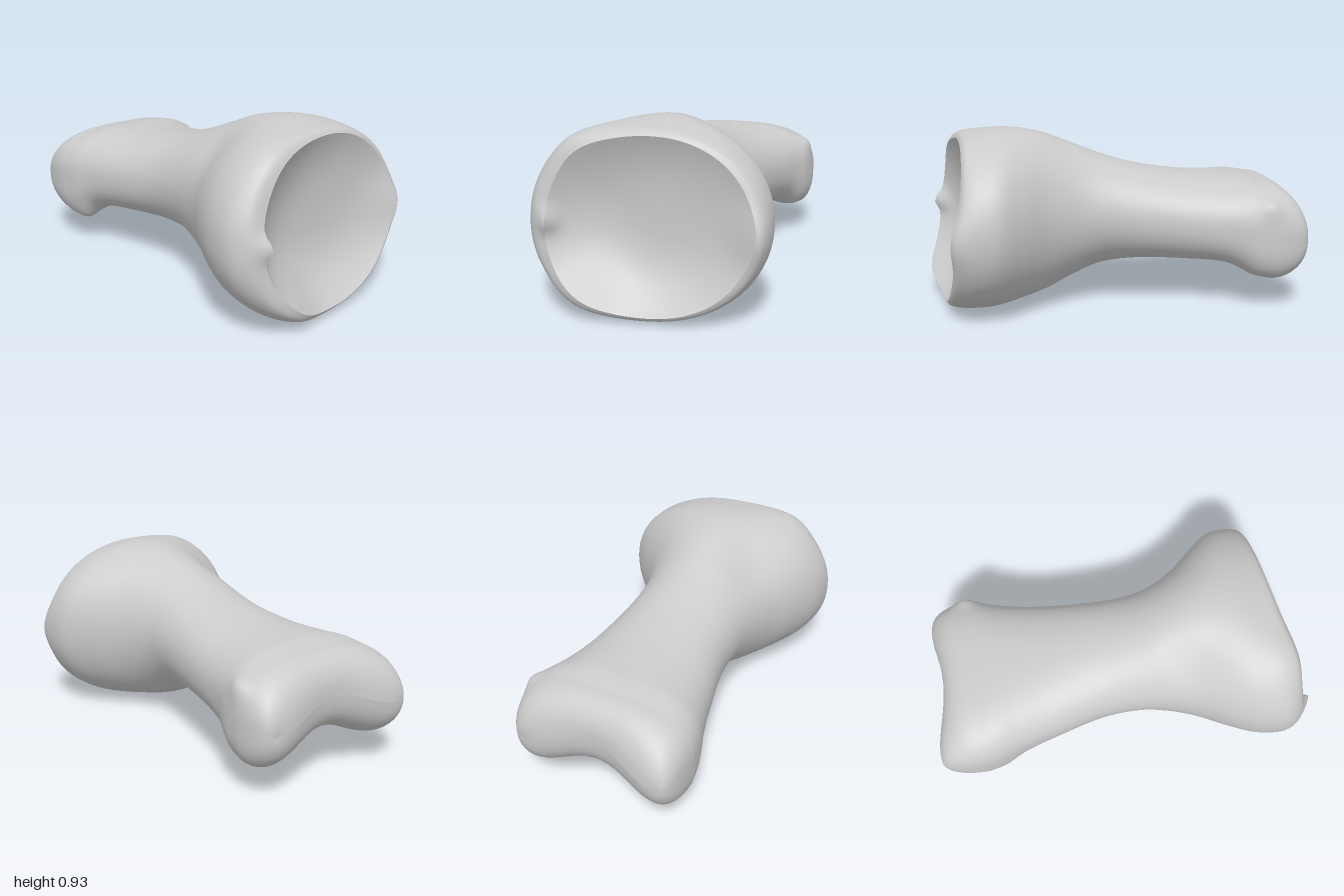
import * as THREE from 'three';

const SIDES = 96;

// Cross-sections along the bone, from the knuckle end to the socket end:
// [position, left edge, right edge, top, bottom, groove under, roundness, rim lean]
const STATIONS = [
  [-0.80, -0.455, 0.465, 0.65, 0.085, 0.18, 0.68, 0],
  [-0.70, -0.44, 0.45, 0.67, 0.10, 0.17, 0.72, 0],
  [-0.58, -0.405, 0.405, 0.675, 0.165, 0.09, 0.82, 0],
  [-0.40, -0.365, 0.36, 0.685, 0.19, 0.04, 0.9, 0],
  [-0.15, -0.32, 0.315, 0.725, 0.205, 0.02, 0.95, 0],
  [0.05, -0.325, 0.295, 0.785, 0.195, 0, 1, 0],
  [0.20, -0.355, 0.31, 0.85, 0.135, 0, 1, 0],
  [0.35, -0.41, 0.38, 0.91, 0.065, 0, 1, 0],
  [0.50, -0.50, 0.495, 0.935, 0.025, 0, 0.98, 0.2],
  [0.62, -0.56, 0.57, 0.935, 0.005, 0, 0.95, 0.5],
  [0.74, -0.575, 0.58, 0.92, 0.005, 0, 0.92, 0.85],
  [0.82, -0.525, 0.56, 0.905, 0.02, 0, 0.93, 1],
  [0.845, -0.45, 0.525, 0.88, 0.045, 0, 0.95, 1],
];

// Small knobs and hollows: [x, y, z, radius, push x, push y, push z]
const KNOBS = [
  [0.45, 0.55, -0.77, 0.06, 0.02, 0.03, 0],
  [-0.36, 0.16, -0.72, 0.08, 0, -0.03, 0.02],
  [-0.45, 0.47, 0.90, 0.05, 0.02, 0, 0.04],
  [0.52, 0.46, 0.82, 0.12, 0.02, 0, 0.03],
  [-0.27, 0.12, 0.90, 0.18, 0, 0, 0.05],
  [-0.30, 0.80, 0.78, 0.16, -0.02, 0.02, 0.02],
  [-0.25, 0.80, 0.35, 0.20, 0.02, -0.04, 0],
];

// Smooth blend between neighbouring cross-sections
function stationAt(t) {
  const last = STATIONS.length - 1;
  const i = Math.min(Math.floor(t), last - 1);
  const f = t - i;
  const [a, b, c, d] = [i - 1, i, i + 1, i + 2].map((k) => STATIONS[THREE.MathUtils.clamp(k, 0, last)]);
  return b.map((_, k) => b[k] + 0.5 * f * (c[k] - a[k]
    + f * (2 * a[k] - 5 * b[k] + 4 * c[k] - d[k] + f * (3 * (b[k] - c[k]) + d[k] - a[k]))));
}

function ring([z, left, right, top, bottom, groove, round, lean]) {
  const points = [];
  for (let i = 0; i < SIDES; i++) {
    const angle = (i / SIDES) * Math.PI * 2;
    const shape = (n) => Math.sign(n) * Math.abs(n) ** round;
    const xn = shape(Math.cos(angle));
    const yn = shape(Math.sin(angle));
    let y = (top + bottom) / 2 + yn * (top - bottom) / 2;
    if (yn < 0) y += groove * Math.cos(xn * Math.PI / 2) ** 2 * Math.min(1, -yn * 1.5);
    points.push(new THREE.Vector3(
      (left + right) / 2 + xn * (right - left) / 2,
      y,
      z + lean * (0.01 * xn * xn - 0.05 * yn - 0.05 * xn),
    ));
  }
  return points;
}

// Skin a list of closed rings
function loft(rings, name) {
  const positions = [];
  const index = [];
  rings.forEach((points, k) => points.forEach((p, i) => {
    const q = p.clone();
    for (const [x, y, z, r, dx, dy, dz] of KNOBS) {
      const w = Math.exp(-p.distanceToSquared(new THREE.Vector3(x, y, z)) / (r * r));
      q.add(new THREE.Vector3(dx, dy, dz).multiplyScalar(w));
    }
    positions.push(q.x, q.y, q.z);
    if (k === rings.length - 1) return;
    const a = k * SIDES + i;
    const b = k * SIDES + (i + 1) % SIDES;
    index.push(a, b, b + SIDES, a, b + SIDES, a + SIDES);
  }));
  const geometry = new THREE.BufferGeometry();
  geometry.setAttribute('position', new THREE.Float32BufferAttribute(positions, 3));
  geometry.setIndex(index);
  geometry.computeVertexNormals();
  const mesh = new THREE.Mesh(geometry, new THREE.MeshStandardMaterial({ color: 0xcccccc, roughness: 0.8 }));
  mesh.name = name;
  return mesh;
}

export function createModel() {
  const bone = new THREE.Group();
  bone.name = 'fingerBone';

  // Rounded double knuckle: the first section folds onto its own centre line
  const start = ring(STATIONS[0]);
  const body = [];
  for (let k = 16; k > 0; k--) {
    const phi = (k / 16) * Math.PI / 2;
    const s = k === 16 ? 0 : Math.cos(phi) ** 0.8;
    body.push(start.map((p, i) => {
      const middle = (p.y + start[(SIDES - i) % SIDES].y) / 2;
      const xn = p.x / 0.46;
      return new THREE.Vector3(
        p.x * (0.82 + 0.18 * s),
        middle + (p.y - middle) * s,
        p.z - Math.sin(phi) * (0.155 + 0.15 * xn ** 2 - 0.1 * xn ** 4 - 0.025 * xn),
      );
    }));
  }

  // Shaft and flared base
  const steps = (STATIONS.length - 1) * 6;
  for (let k = 0; k <= steps; k++) body.push(ring(stationAt(k / 6)));
  bone.add(loft(body, 'shaft'));

  // Hollow joint socket inside the rim
  const rim = body[body.length - 1];
  const centre = new THREE.Vector3(0.035, 0.4625, 0.725);
  const socket = [];
  for (let k = 0; k <= 20; k++) {
    const s = 1 - k / 20;
    socket.push(rim.map((p) => new THREE.Vector3(
      centre.x + (p.x - centre.x) * s,
      centre.y + (p.y - centre.y) * s,
      centre.z + (p.z - centre.z) * s ** 2.8,
    )));
  }
  bone.add(loft(socket, 'jointSocket'));

  // The bone lies diagonally
  bone.rotation.y = THREE.MathUtils.degToRad(43);
  const model = new THREE.Group();
  model.name = 'bone';
  model.add(bone);
  return model;
}
